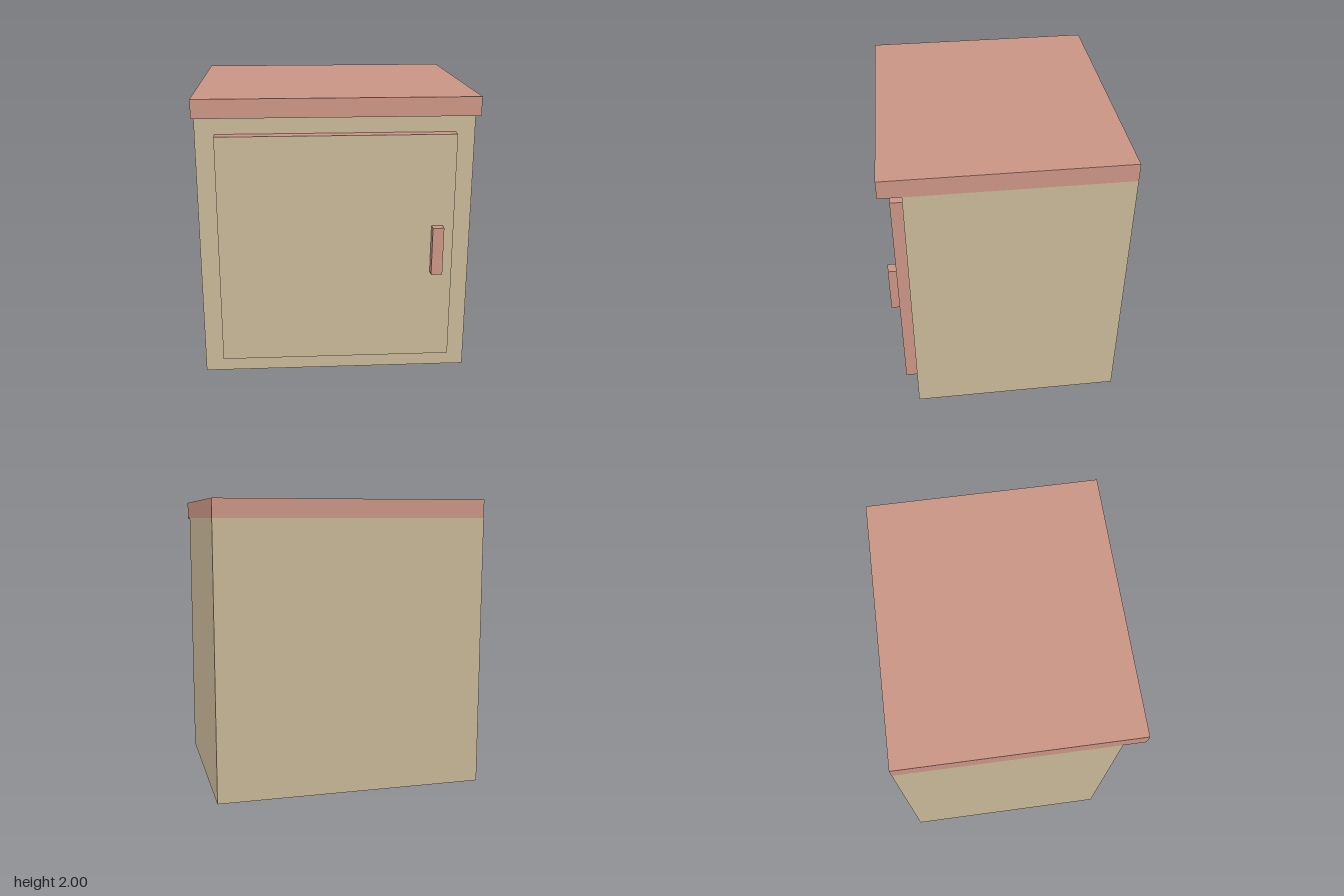
import * as THREE from 'three';

const trim = new THREE.MeshStandardMaterial({ name: 'dusty pink', color: 0xcb9686 });
const panel = new THREE.MeshStandardMaterial({ name: 'beige', color: 0xc9b999 });

// Box between two corners; an array of materials colours +x, -x, +y, -y, +z, -z.
function block(name, min, max, material) {
  const size = max.map((v, i) => v - min[i]);
  const mesh = new THREE.Mesh(new THREE.BoxGeometry(...size), material);
  mesh.position.set(...max.map((v, i) => (v + min[i]) / 2));
  mesh.name = name;
  return mesh;
}

export function createModel() {
  const cabinet = new THREE.Group();
  cabinet.name = 'cabinet';

  // Carcass and overhanging worktop with a plain underside
  cabinet.add(block('carcass', [-0.934, 0, -0.807], [0.934, 1.875, 0.657], panel));
  cabinet.add(block('worktop', [-0.934, 1.875, -0.807], [0.934, 2, 0.807],
    [trim, trim, trim, panel, trim, trim]));

  // Door with coloured edges, and its handle
  const door = new THREE.Group();
  door.name = 'door';
  door.add(block('doorPanel', [-0.802, 0.132, 0.657], [0.802, 1.741, 0.74],
    [trim, trim, trim, trim, panel, panel]));
  door.add(block('handle', [0.65, 0.768, 0.74], [0.727, 1.107, 0.8], trim));
  cabinet.add(door);

  return cabinet;
}
